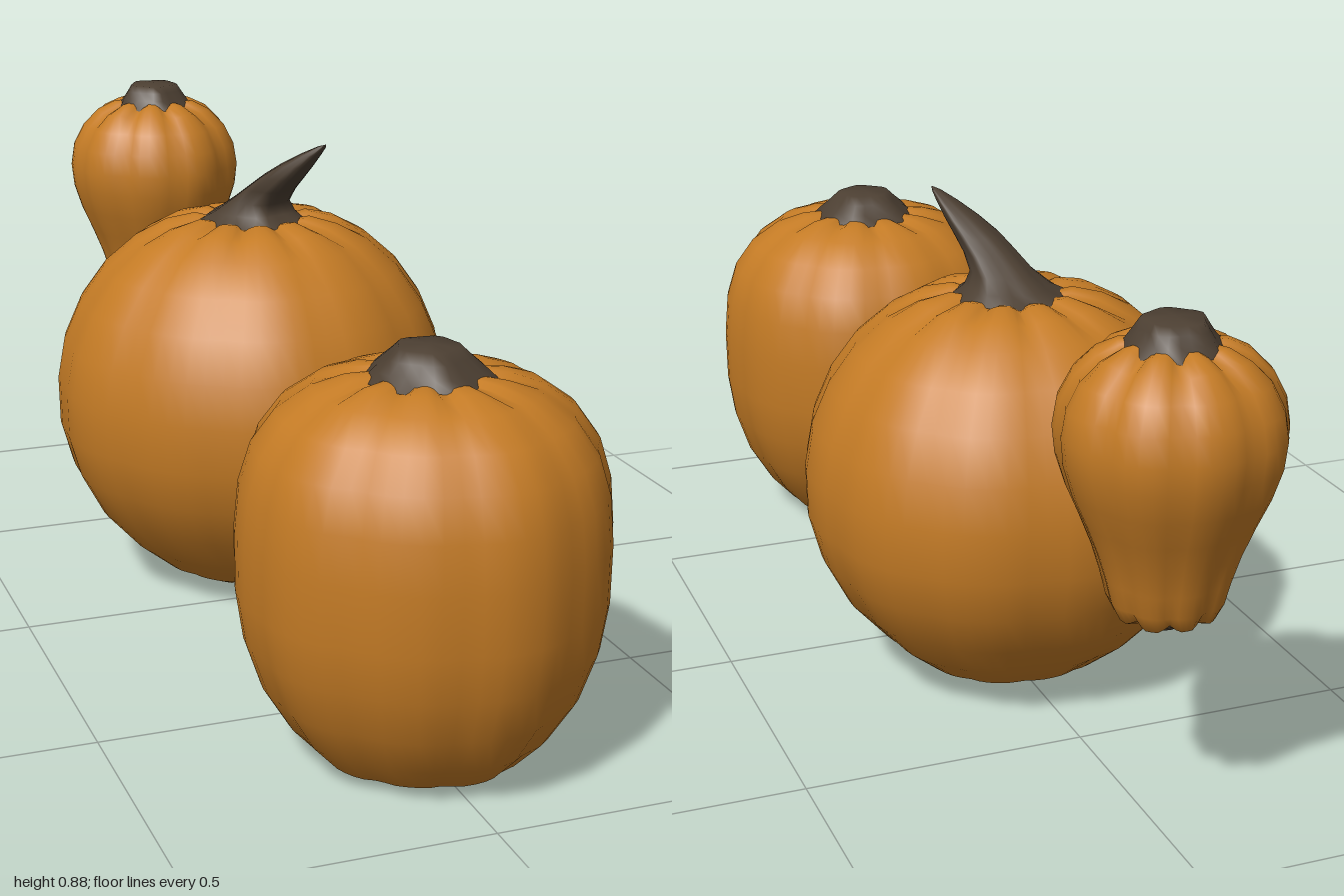
import * as THREE from 'three';
import { mergeVertices } from 'three/addons/utils/BufferGeometryUtils.js';

const orange = new THREE.MeshStandardMaterial({ color: 0xc47b25 });
orange.name = 'pumpkin orange';
const brown = new THREE.MeshStandardMaterial({ color: 0x4c3f32 });
brown.name = 'stem brown';

// Lofts rows of [radius, y, offsetX, offsetZ]; shape(angle, t, row) scales the radius
// and dip(angle, t) shifts the height.
function loft(name, material, rows, sides, shape, dip = () => 0) {
  const points = rows.map(([r, y]) => new THREE.Vector2(r, y));
  let geometry = new THREE.LatheGeometry(points, sides);
  const pos = geometry.attributes.position;
  const n = rows.length;
  for (let i = 0; i < pos.count; i++) {
    const row = i % n;
    const [r, y, ox = 0, oz = 0] = rows[row];
    const a = (Math.floor(i / n) % sides) / sides * Math.PI * 2;
    const t = row / (n - 1);
    const k = r * shape(a, t, row);
    pos.setXYZ(i, Math.sin(a) * k + ox, y + (r > 0 ? dip(a, t) : 0), Math.cos(a) * k + oz);
  }
  geometry.deleteAttribute('uv');
  geometry.deleteAttribute('normal');
  geometry = mergeVertices(geometry, 1e-5);
  geometry.computeVertexNormals();
  const mesh = new THREE.Mesh(geometry, material);
  mesh.name = name;
  return mesh;
}

// One fruit: ribbed skin, stem and blossom scar
function makePumpkin({ name, z, skin, stem, scar, ribs, depth, phase }) {
  const group = new THREE.Group();
  group.name = name;
  group.position.z = z;
  const groove = (a) => Math.pow(Math.abs(Math.cos((a * ribs) / 2 + phase * ribs)), 6);
  const wobble = (a) => 0.012 * Math.sin(3 * a + phase) + 0.008 * Math.sin(5 * a + 2 * phase);
  // Grooves deepen toward both ends
  const skinShape = (a, t) =>
    1.005 + wobble(a) - depth * groove(a) * (0.35 + 1.3 * Math.abs(t - 0.5));
  const skinDip = (a, t) =>
    (t < 0.2 ? 1 : t > 0.8 ? -1 : 0) * 0.014 * groove(a) * Math.abs(t - 0.5) * 2;
  group.add(loft(name + 'Skin', orange, skin, ribs * 6, skinShape, skinDip));
  // Ragged foot where the stem meets the skin
  const ragged = (a, t, row) =>
    row === 0 ? 1 + 0.07 * Math.sin(7 * a + phase) + 0.05 * Math.sin(11 * a) : 1 + 0.07 * Math.cos(5 * a + phase);
  group.add(loft(name + 'Stem', brown, stem, 22, ragged));
  group.add(loft(name + 'BlossomScar', brown, scar, 14, (a) => 1 + 0.06 * Math.sin(5 * a)));
  return group;
}

export function createModel() {
  const model = new THREE.Group();
  model.name = 'pumpkins';

  // Tall barrel-shaped pumpkin in front
  model.add(makePumpkin({
    name: 'frontPumpkin', z: 0.697, ribs: 10, depth: 0.055, phase: 0.4,
    skin: [[0.05, 0.024], [0.09, 0.01], [0.13, 0.003], [0.175, 0.02], [0.222, 0.07], [0.265, 0.14], [0.292, 0.22],
      [0.304, 0.3], [0.305, 0.4], [0.298, 0.48], [0.278, 0.545], [0.24, 0.598], [0.185, 0.637],
      [0.13, 0.656], [0.09, 0.66], [0.05, 0.652]],
    stem: [[0.104, 0.65], [0.085, 0.668], [0.066, 0.685], [0.05, 0.701], [0, 0.704]],
    scar: [[0, 0.008], [0.045, 0.01], [0.064, 0.018], [0.06, 0.03]],
  }));

  // Large round pumpkin with a long bent stem
  model.add(makePumpkin({
    name: 'middlePumpkin', z: -0.155, ribs: 11, depth: 0.04, phase: 1.1,
    skin: [[0.05, 0.026], [0.09, 0.014], [0.13, 0.012], [0.18, 0.035], [0.245, 0.088], [0.31, 0.16], [0.352, 0.24],
      [0.374, 0.32], [0.376, 0.41], [0.362, 0.49], [0.33, 0.565], [0.284, 0.63], [0.225, 0.682],
      [0.165, 0.715], [0.11, 0.728], [0.05, 0.715]],
    stem: [[0.102, 0.717], [0.074, 0.735, 0.004, 0], [0.055, 0.757, 0.01, 0.012], [0.046, 0.785, 0.02, 0.045],
      [0.04, 0.812, 0.034, 0.075], [0.031, 0.838, 0.052, 0.102], [0.019, 0.862, 0.07, 0.13],
      [0.008, 0.879, 0.084, 0.151], [0, 0.885, 0.09, 0.16]],
    scar: [[0, 0.008], [0.045, 0.01], [0.066, 0.02], [0.06, 0.034]],
  }));

  // Small pear-shaped gourd at the back, raised
  model.add(makePumpkin({
    name: 'backGourd', z: -0.82, ribs: 9, depth: 0.09, phase: 0.7,
    skin: [[0.03, 0.395], [0.055, 0.386], [0.08, 0.392], [0.094, 0.42], [0.104, 0.46], [0.118, 0.505], [0.138, 0.555],
      [0.16, 0.605], [0.176, 0.655], [0.181, 0.7], [0.174, 0.745], [0.153, 0.786], [0.12, 0.82],
      [0.085, 0.837], [0.04, 0.842]],
    stem: [[0.08, 0.826], [0.066, 0.845], [0.056, 0.86], [0.048, 0.873], [0, 0.876]],
    scar: [[0, 0.368], [0.025, 0.37], [0.042, 0.382], [0.044, 0.398]],
  }));

  return model;
}
